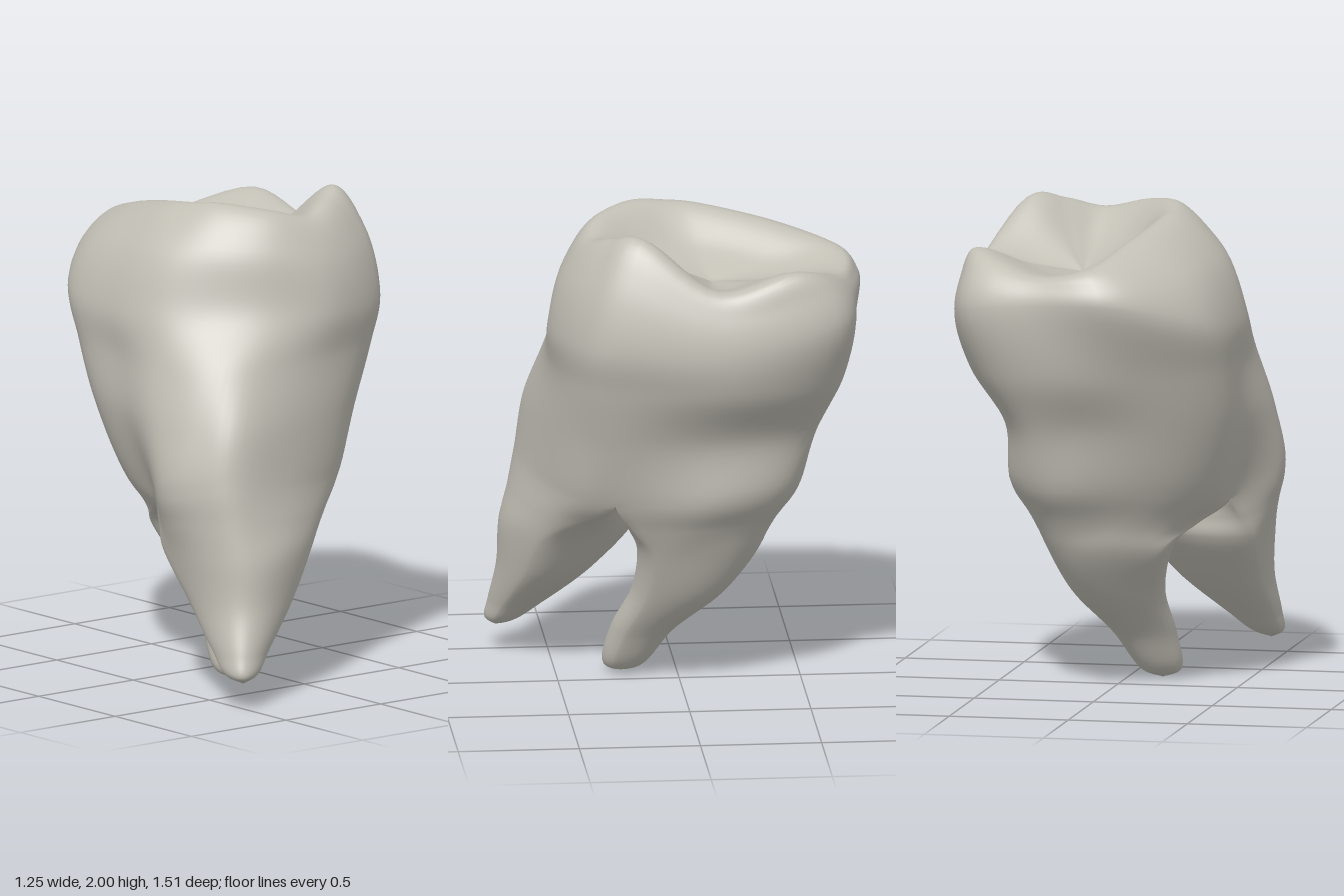
import * as THREE from 'three';
import { mergeGeometries, mergeVertices } from 'three/addons/utils/BufferGeometryUtils.js';

const N = 72;          // columns around a ring
const H = N / 2;       // the fork ends sit at columns 0 and H
const STEPS = 8;       // subdivisions between two rings
const V = (x, y, z) => new THREE.Vector3(x, y, z);

// Closed smooth ring through 12 control points [x, z], with one height or one per point
function ring(xz, y) {
  const pts = xz.map(([x, z], i) => V(x, Array.isArray(y) ? y[i] : y, z));
  return new THREE.CatmullRomCurve3(pts, true, 'catmullrom').getPoints(N).slice(0, N);
}

// Root section: half-width a along the fork, round inner side, pointed outer side
function section(side, cx, y, cz, a, inner, outer) {
  return Array.from({ length: N }, (_, i) => {
    const t = (i / N) * Math.PI * 2, s = Math.sin(t) * side, u = a * Math.cos(t);
    const v = side * (s > 0 ? outer * (0.4 * s + 0.6 * s * s) : inner * s);
    return V(cx + 0.82 * u - 0.57 * v, y, cz + 0.57 * u + 0.82 * v);
  });
}

// Skin over rings: every column is a spline; before/after only steer its ends
function skin(rings, before, after) {
  const rows = (rings.length - 1) * STEPS;
  const pos = [], index = [];
  for (let i = 0; i <= N; i++) {
    const c = i % N;
    const pts = rings.map((r) => r[c]);
    if (before) pts.unshift(before[c]);
    if (after) pts.push(after[c]);
    const curve = new THREE.CatmullRomCurve3(pts);
    const first = before ? 1 : 0, spans = pts.length - 1;
    for (let k = 0; k <= rows; k++) {
      const p = curve.getPoint((first + k / STEPS) / spans);
      pos.push(p.x, p.y, p.z);
      if (i < N && k < rows) {
        const a = i * (rows + 1) + k, d = a + rows + 1;
        index.push(a, a + 1, d, d, a + 1, d + 1);
      }
    }
  }
  const g = new THREE.BufferGeometry();
  g.setAttribute('position', new THREE.Float32BufferAttribute(pos, 3));
  g.setIndex(index);
  return g;
}

const blend = (ringA, ringB, t) => ringA.map((p, i) => p.clone().lerp(ringB[i], t));

export function createModel() {
  const enamel = new THREE.MeshStandardMaterial({ color: 0xc2bfb5 });
  enamel.name = 'enamel';

  // Body rings, starting at the +x fork end and running round the front
  const fork = ring(
    [[0.31, 0.29], [0.18, 0.48], [-0.12, 0.61], [-0.44, 0.64], [-0.58, 0.5], [-0.615, 0.31],
      [-0.46, 0.09], [-0.4, -0.17], [-0.22, -0.36], [0.12, -0.48], [0.33, -0.38], [0.42, -0.08]],
    [0.83, 0.85, 0.88, 0.9, 0.88, 0.84, 0.78, 0.82, 0.85, 0.86, 0.86, 0.85]);
  const waist = ring(
    [[0.42, 0.27], [0.26, 0.47], [-0.05, 0.58], [-0.4, 0.61], [-0.54, 0.47], [-0.6, 0.26],
      [-0.54, 0.0], [-0.48, -0.27], [-0.26, -0.46], [0.08, -0.55], [0.32, -0.5], [0.44, -0.16]], 1.12);
  const neck = ring(
    [[0.5, 0.28], [0.36, 0.45], [0.07, 0.54], [-0.28, 0.54], [-0.46, 0.42], [-0.545, 0.2],
      [-0.535, -0.05], [-0.49, -0.36], [-0.24, -0.57], [0.1, -0.67], [0.44, -0.58], [0.58, -0.18]], 1.36);
  const crown = ring(
    [[0.55, 0.28], [0.41, 0.45], [0.12, 0.55], [-0.14, 0.49], [-0.35, 0.35], [-0.5, 0.15],
      [-0.54, -0.1], [-0.46, -0.47], [-0.14, -0.73], [0.2, -0.715], [0.53, -0.62], [0.62, -0.17]],
    [1.55, 1.55, 1.55, 1.57, 1.57, 1.57, 1.55, 1.58, 1.67, 1.67, 1.63, 1.53]);
  const rim = ring(
    [[0.41, 0.18], [0.28, 0.3], [0.13, 0.37], [-0.05, 0.33], [-0.19, 0.18], [-0.23, 0.03],
      [-0.22, -0.12], [-0.14, -0.4], [-0.02, -0.66], [0.22, -0.64], [0.5, -0.45], [0.53, -0.12]],
    [1.99, 1.97, 1.93, 1.97, 1.995, 1.98, 1.96, 1.9, 1.82, 1.78, 1.865, 1.79]);

  // Rounded shoulder below the cusps, and the basin falling to a central pit
  const shoulder = crown.map((p, i) => {
    const q = p.clone().lerp(rim[i], 0.32);
    q.y = THREE.MathUtils.lerp(p.y, rim[i].y, 0.62);
    return q;
  });
  const pit = V(0.12, 1.73, -0.12);
  const basin = rim.map((p) => {
    const q = p.clone().lerp(pit, 0.5);
    q.y = THREE.MathUtils.lerp(p.y, pit.y, 0.6);
    return q;
  });

  // Root sections from the tips upwards
  const frontRings = [
    Array(N).fill(V(-0.495, 0.105, 0.715)),
    section(1, -0.485, 0.135, 0.69, 0.065, 0.06, 0.075),
    section(1, -0.44, 0.22, 0.63, 0.115, 0.105, 0.13),
    section(1, -0.335, 0.4, 0.5, 0.215, 0.165, 0.24),
    section(1, -0.26, 0.6, 0.385, 0.31, 0.2, 0.36),
  ];
  const backRings = [
    Array(N).fill(V(-0.14, 0, 0.23)),
    section(-1, -0.135, 0.035, 0.22, 0.085, 0.08, 0.085),
    section(-1, -0.08, 0.2, 0.15, 0.14, 0.125, 0.14),
    section(-1, -0.01, 0.4, 0.03, 0.205, 0.15, 0.24),
    section(-1, 0.005, 0.6, -0.035, 0.3, 0.17, 0.32),
  ];

  // Arched bridge between the roots, shared by both
  const bridge = new THREE.CatmullRomCurve3(
    [fork[0], V(0.17, 0.79, 0.26), V(-0.07, 0.75, 0.19), V(-0.3, 0.76, 0.13), fork[H]]).getPoints(H);
  const frontLoop = fork.map((p, i) => (i <= H ? p : bridge[N - i]));
  const backLoop = fork.map((p, i) => (i < H ? bridge[i] : p));

  // Root shoulders taper straight from the fork into the sections
  frontRings.push(blend(frontLoop, frontRings.at(-1), 0.5));
  backRings.push(blend(backLoop, backRings.at(-1), 0.5));
  const frontTop = frontRings.at(-1), backTop = backRings.at(-1);

  // Points beyond each seam keep the surface smooth across it and fade towards the fork ends
  const fade = (i) => Math.abs(Math.sin((i / H) * Math.PI));
  const forkEnd = (i) => (i > H / 2 && i < H * 1.5 ? H : 0);
  const across = (other) => (i) => waist[forkEnd(i)].clone().lerp(other[(N - i) % N], fade(i));
  const beyondFront = waist.map((p, i) => (i <= H ? p : across(backTop)(i)));
  const beyondBack = waist.map((p, i) => (i >= H || i === 0 ? p : across(frontTop)(i)));
  const below = fork.map((_, i) => {
    const e = forkEnd(i);
    const middle = frontTop[e].clone().lerp(backTop[e], 0.5);
    return middle.lerp(i < H ? frontTop[i] : backTop[i], Math.sqrt(fade(i)));
  });

  const parts = [
    skin([fork, waist, neck, crown, shoulder, rim, basin, Array(N).fill(pit)], below, null),
    skin([...frontRings, frontLoop], null, beyondFront),
    skin([...backRings, backLoop], null, beyondBack),
  ];
  const geometry = mergeVertices(mergeGeometries(parts), 1e-4);
  geometry.computeVertexNormals();

  const tooth = new THREE.Mesh(geometry, enamel);
  tooth.name = 'tooth';
  const group = new THREE.Group();
  group.name = 'molar';
  group.add(tooth);
  return group;
}
